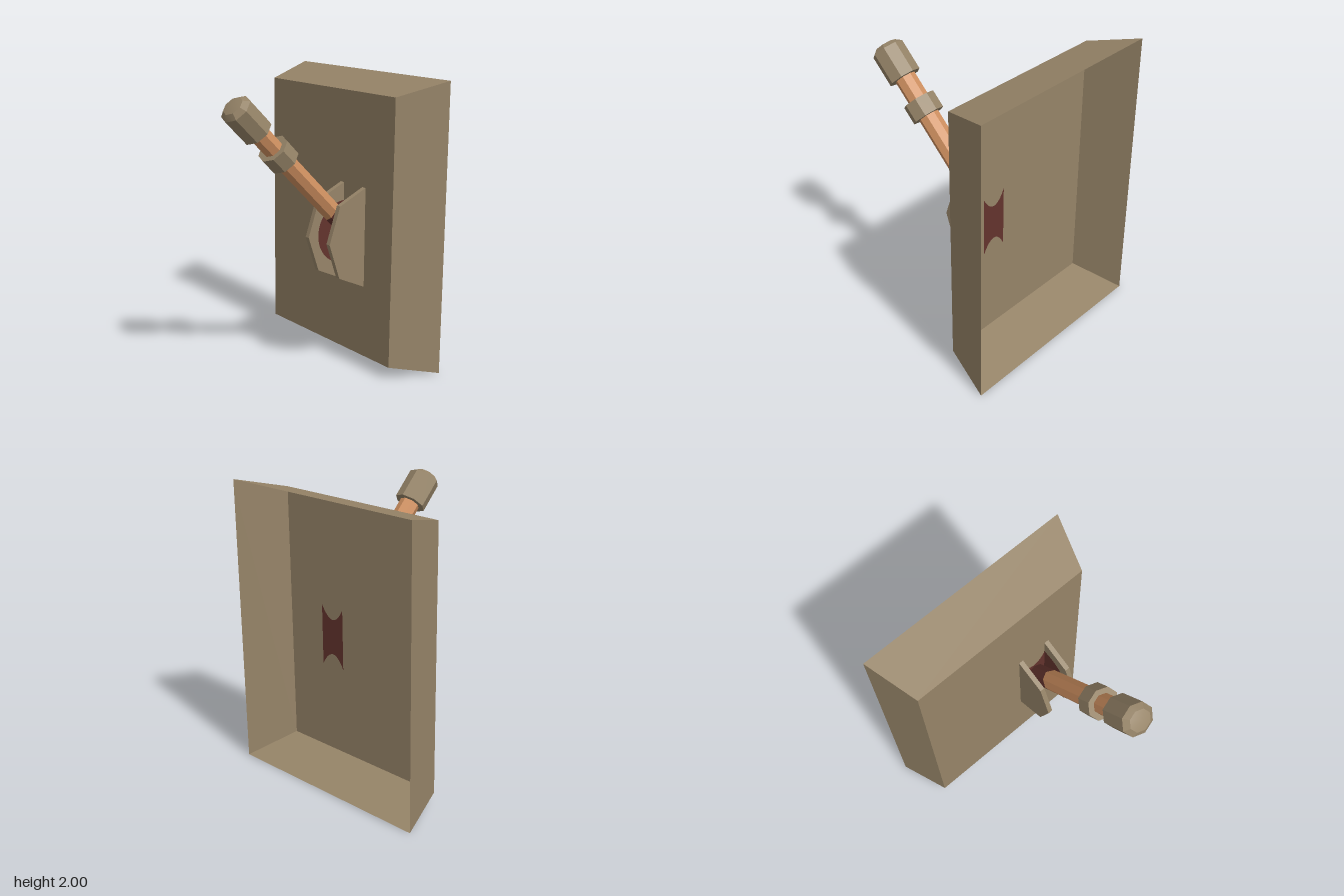
import * as THREE from 'three';
import { toCreasedNormals } from 'three/addons/utils/BufferGeometryUtils.js';

const PLATE_Z = -0.325, BACK_Z = -0.685, LEVER_X = 0.245, PIVOT_Y = 0.935;
const INNER = [0.152, 0.343], BRACKET_T = 0.034;

export function createModel() {
  const material = (name, color, double) => {
    const m = new THREE.MeshStandardMaterial({ color });
    m.name = name;
    if (double) m.side = THREE.DoubleSide;
    return m;
  };
  const metal = material('dull metal', 0x968468, true);
  const wood = material('wood', 0xcf9060);
  const rust = material('dark red', 0x63332d, true);

  const model = new THREE.Group();
  model.name = 'wallLever';
  const add = (parent, name, geometry, mat) => {
    const mesh = new THREE.Mesh(toCreasedNormals(geometry, 0.5), mat);
    mesh.name = name;
    parent.add(mesh);
    return mesh;
  };

  // Hollow wall plate: a box tapered to the front, without its back face
  const plate = new THREE.BoxGeometry(1.53, 2, PLATE_Z - BACK_Z);
  plate.setIndex(Array.from(plate.index.array).slice(0, 30));
  plate.clearGroups();
  const p = plate.attributes.position;
  for (let i = 0; i < p.count; i++) {
    if (p.getZ(i) > 0) p.setXY(i, Math.sign(p.getX(i)) * 0.653 - 0.005, Math.sign(p.getY(i)) * 0.91);
  }
  plate.translate(0, 1, (PLATE_Z + BACK_Z) / 2);
  add(model, 'wallPlate', plate, metal);

  // Two bracket cheeks, drawn in (z, y) and extruded along x
  const cheek = new THREE.Shape([
    [PLATE_Z, 0.59], [-0.11, 0.69], [-0.025, PIVOT_Y], [-0.11, 1.185], [PLATE_Z, 1.28],
  ].map(([z, y]) => new THREE.Vector2(z, y)));
  // Stain on the inner side of each cheek
  const halfDisc = new THREE.Shape();
  halfDisc.absarc(PLATE_Z, PIVOT_Y, 0.22, -Math.PI / 2, Math.PI / 2, false);
  [-1, 1].forEach((side, i) => {
    const bracket = new THREE.ExtrudeGeometry(cheek, { depth: BRACKET_T, bevelEnabled: false });
    bracket.rotateY(-Math.PI / 2).translate(side < 0 ? INNER[i] : INNER[i] + BRACKET_T, 0, 0);
    add(model, side < 0 ? 'rightBracket' : 'leftBracket', bracket, metal);
    const stain = new THREE.ShapeGeometry(halfDisc, 16);
    stain.rotateY(-Math.PI / 2).translate(INNER[i] - side * 0.002, 0, 0);
    add(model, 'bracketStain', stain, rust);
  });

  // Hourglass stain on the plate, front and back
  const [x0, x1] = INNER;
  const glass = new THREE.Shape();
  glass.moveTo(x0, PIVOT_Y - 0.215);
  glass.quadraticCurveTo(LEVER_X, PIVOT_Y - 0.035, x1, PIVOT_Y - 0.215);
  glass.lineTo(x1, PIVOT_Y + 0.215);
  glass.quadraticCurveTo(LEVER_X, PIVOT_Y + 0.035, x0, PIVOT_Y + 0.215);
  [0.003, -0.003].forEach((dz) => {
    const stain = new THREE.ShapeGeometry(glass, 12).translate(0, 0, PLATE_Z + dz);
    add(model, 'plateStain', stain, rust);
  });

  // Lever, built upright and tilted 45 degrees forward
  const lever = new THREE.Group();
  lever.name = 'lever';
  lever.position.set(LEVER_X, 0.985, -0.28);
  lever.rotation.x = Math.PI / 4;
  model.add(lever);
  const turned = (points) => new THREE.LatheGeometry(
    points.map(([r, y]) => new THREE.Vector2(r, y)), 8).scale(1, 1, 0.91);

  // Shaft: stained foot and clean wood meet on a wavy line
  const R = 0.074, SPLIT = 0.183;
  const wave = (geometry) => {
    const a = geometry.attributes.position;
    for (let i = 0; i < a.count; i++) {
      if (Math.abs(a.getY(i) - SPLIT) < 1e-4) a.setY(i, SPLIT + 0.04 * (a.getX(i) / R) ** 2);
    }
    return geometry;
  };
  add(lever, 'shaftFoot', wave(turned([[0, 0], [R, 0], [R, SPLIT]])), rust);
  add(lever, 'shaft', wave(turned([[R, SPLIT], [R, 1.05]])), wood);

  // Collar and domed knob
  const K = 0.116;
  add(lever, 'collar', turned([[0, 0.744], [K, 0.744], [K, 0.868], [0, 0.868]]), metal);
  add(lever, 'knob', turned([[0, 1.037], [K, 1.037], [K, 1.253], [0.078, 1.283], [0, 1.295]]), metal);

  return model;
}
